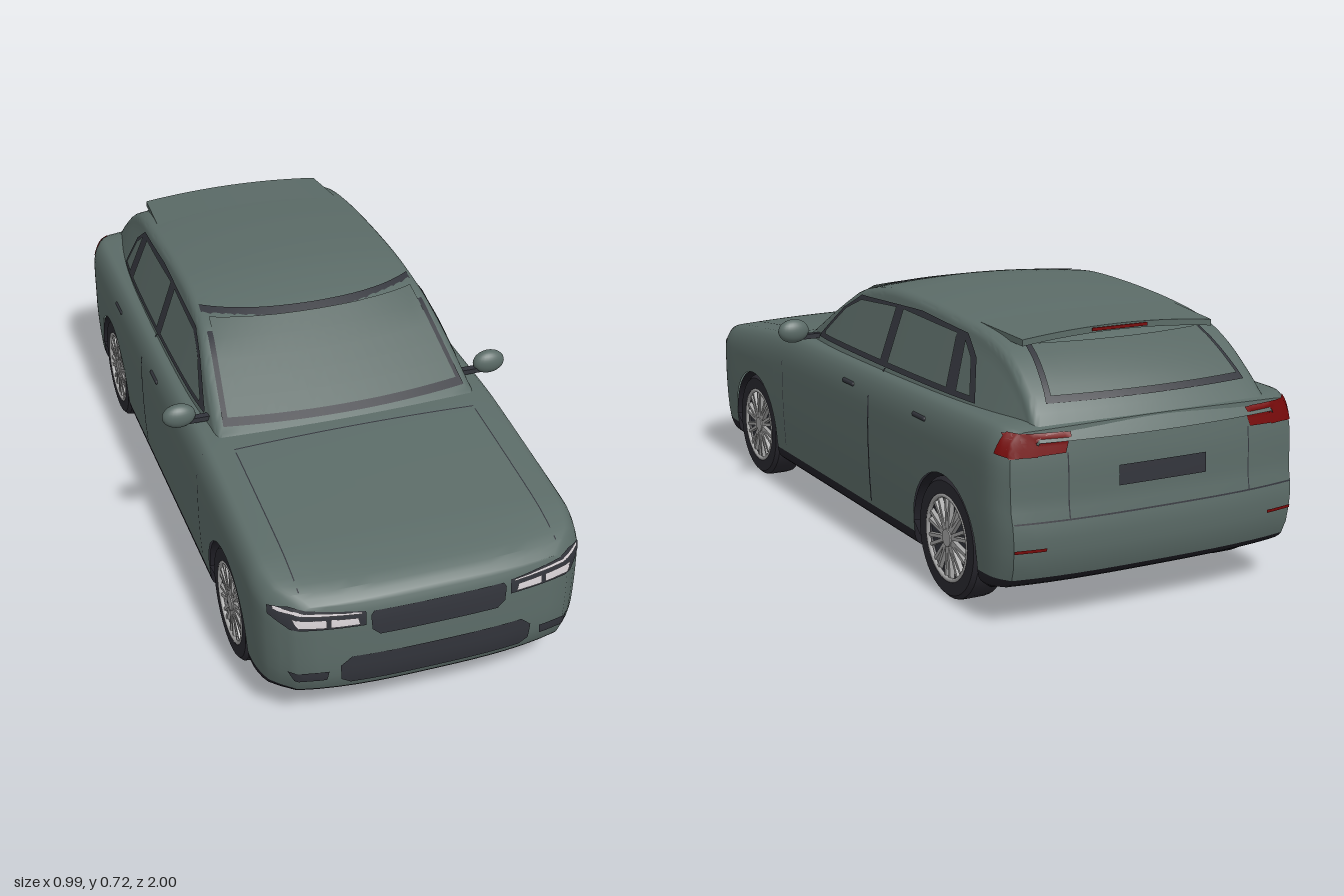
import * as THREE from 'three';
import { mergeGeometries, toCreasedNormals } from 'three/addons/utils/BufferGeometryUtils.js';

const flat = (name, hex) => {
  const m = new THREE.MeshStandardMaterial({ color: hex, side: THREE.DoubleSide });
  m.name = name;
  return m;
};

// Smooth curve through sorted [t, value] points
const curve = (pts) => (t) => {
  const n = pts.length - 1;
  if (t <= pts[0][0]) return pts[0][1];
  if (t >= pts[n][0]) return pts[n][1];
  let i = 0;
  while (t > pts[i + 1][0]) i++;
  const slope = (k) => {
    const a = pts[Math.max(k - 1, 0)], b = pts[Math.min(k + 1, n)];
    return (b[1] - a[1]) / (b[0] - a[0]);
  };
  const h = pts[i + 1][0] - pts[i][0], u = (t - pts[i][0]) / h, u2 = u * u, u3 = u2 * u;
  return (2 * u3 - 3 * u2 + 1) * pts[i][1] + (u3 - 2 * u2 + u) * h * slope(i)
    + (3 * u2 - 2 * u3) * pts[i + 1][1] + (u3 - u2) * h * slope(i + 1);
};

// Surface from rows of points
function grid(rows) {
  const n = rows[0].length, index = [];
  for (let v = 0; v < rows.length - 1; v++) for (let u = 0; u < n - 1; u++) {
    const a = v * n + u, c = a + n;
    index.push(a, a + 1, c + 1, a, c + 1, c);
  }
  const g = new THREE.BufferGeometry();
  g.setAttribute('position', new THREE.Float32BufferAttribute(rows.flat(2), 3));
  g.setIndex(index);
  return g;
}
const smooth = (parts, angle = 0.7) => toCreasedNormals(mergeGeometries(parts), angle);
const steps = (n, a = 0, b = 1) => Array.from({ length: n + 1 }, (_, i) => a + (b - a) * i / n);

// Body curves: plan width, shoulder height, and how far each end draws back with height
const plan = curve([[-1, .405], [-.95, .428], [-.85, .435], [0, .437], [.8, .435], [.9, .426], [.95, .41], [1, .36]]);
const inset = curve([[.08, .04], [.1, .016], [.13, .009], [.25, .002], [.36, 0]]);
const shoulder = curve([[-1, .485], [-.95, .495], [-.7, .495], [0, .49], [.3, .487], [.4, .48], [.6, .46], [.8, .437], [.9, .42], [.97, .403], [1, .385]]);
const frontDrop = curve([[.08, .11], [.1, .05], [.13, .015], [.18, 0], [.3, 0], [.36, .005], [.4, .02]]);
const rearDrop = curve([[.08, .13], [.1, .06], [.13, .02], [.18, .005], [.25, 0], [.3, .01], [.4, .015], [.5, .03]]);
const WHEEL_Z = [.6, -.67], WHEEL_R = .157, ARCH_R = .167, FLOOR = .08, SPLIT = .128;

const halfWidth = (y, z) => plan(z) - inset(y);
const inArch = (z) => WHEEL_Z.find((c) => Math.abs(z - c) < ARCH_R);
const archY = (z) => {
  const c = inArch(z);
  return c === undefined ? 0 : WHEEL_R + Math.sqrt(ARCH_R ** 2 - (z - c) ** 2);
};
function warp(x, y, z) {
  const f = .995 - .035 * Math.abs(x / .36) ** 3 - frontDrop(y);
  const r = 1 - .03 * Math.abs(x / .41) ** 3 - rearDrop(y);
  if (z > .8) z = .8 + (z - .8) / .2 * (f - .8);
  if (z < -.85) z = -.85 + (z + .85) / .15 * (r - .85);
  return [x, y, z];
}
const stations = [...steps(64, -1, 1), .97, .985, -.985,
  ...WHEEL_Z.flatMap((c) => [c - ARCH_R - .001, c + ARCH_R + .001, ...steps(20).map((t) => c + ARCH_R * .9999 * Math.cos(t * Math.PI))]),
].sort((a, b) => a - b);
const across = steps(14, 1, -1);

function halfSection(z) {
  const sh = shoulder(z), b = z > .5 ? .09 - (z - .5) * .06 : .09;
  const lo = Math.max(SPLIT, archY(z)), hi = sh - b;
  const pts = steps(8, lo, hi).map((y) => [halfWidth(y, z), y]);
  const x = halfWidth(hi, z);
  for (let i = 1; i <= 6; i++) {
    const a = i / 6 * Math.PI / 2;
    pts.push([x - .04 * (1 - Math.cos(a)), hi + b * Math.sin(a)]);
  }
  return pts;
}
function endCap(half, z, crown) {
  const cols = (z > 0 ? across : [...across].reverse());
  return grid(cols.map((c) => half.map(([x, y], k) =>
    warp(x * c, y + (k === half.length - 1 ? crown * (1 - c * c) : 0), z))));
}
function bodyGeometry() {
  const rows = stations.map((z) => {
    const half = halfSection(z), [xt, yt] = half[half.length - 1];
    return [...half, ...across.slice(1, -1).map((c) => [xt * c, yt + .01 * (1 - c * c)]),
      ...[...half].reverse().map(([x, y]) => [-x, y])].map(([x, y]) => warp(x, y, z));
  });
  return smooth([grid(rows), endCap(halfSection(1), 1, .01), endCap(halfSection(-1), -1, .01)]);
}
function skirtGeometry() {
  const half = (z) => steps(5, Math.max(FLOOR, archY(z)), Math.max(SPLIT, archY(z))).map((y) => [halfWidth(y, z), y]);
  const side = (s) => grid((s > 0 ? stations : [...stations].reverse()).map((z) => half(z).map(([x, y]) => warp(s * x, y, z))));
  const floor = grid(stations.map((z) => {
    const w = inArch(z) === undefined ? halfWidth(FLOOR, z) : .3;
    return [...across].reverse().map((c) => warp(w * c, FLOOR, z));
  }));
  return smooth([side(1), side(-1), endCap(half(1), 1, 0), endCap(half(-1), -1, 0), floor]);
}

// Cabin: sloping sides under a roof line that runs from windscreen to tailgate
const roof = curve([[-1, .46], [-.97, .492], [-.92, .555], [-.85, .612], [-.78, .652], [-.7, .678], [-.6, .694], [-.4, .71], [-.2, .715],
  [-.1, .708], [0, .69], [.05, .674], [.1, .646], [.2, .586], [.3, .525], [.36, .487], [.4, .46]]);
const belt = curve([[-1, .325], [-.8, .36], [-.5, .383], [.1, .385], [.4, .362]]);
function cabinGeometry() {
  const base = .455;
  return smooth([grid(steps(80, -1, .4).map((z) => {
    const crown = .018 * THREE.MathUtils.clamp((roof(z) - .48) / .2, 0, 1);
    const top = roof(z) - crown, r = Math.min(.028, (top - base) * .5);
    const wide = (y) => belt(z) - .35 * (y - .49);
    const half = steps(6, base, top - r).map((y) => [wide(y), y]);
    for (let i = 1; i <= 5; i++) {
      const a = i / 5 * Math.PI / 2;
      half.push([wide(top - r) - r * (1 - Math.cos(a)), top - r + r * Math.sin(a)]);
    }
    const xt = half[half.length - 1][0];
    const ring = [...half, ...across.slice(1, -1).map((c) => [xt * c, top + crown * (1 - c * c)]),
      ...[...half].reverse().map(([x, y]) => [-x, y])];
    const bow = z > 0 ? -.03 * Math.min(1, z / .3) : .03 * THREE.MathUtils.clamp((-z - .7) / .2, 0, 1);
    return ring.map(([x, y]) => [x, y, z + bow * (x / .35) ** 2]);
  }))], .6);
}

function wheel(m) {
  const g = new THREE.Group();
  const add = (name, geo, mat, y = 0) => {
    const o = new THREE.Mesh(geo, mat);
    o.name = name; o.position.y = y; g.add(o);
    return o;
  };
  const profile = [[.11, -.046], [.145, -.046], [.155, -.036], [.157, -.02], [.157, .02], [.155, .036], [.145, .046], [.112, .046], [.108, .03]];
  add('tyre', toCreasedNormals(new THREE.LatheGeometry(profile.map((p) => new THREE.Vector2(...p)), 40), .6), m.tyre);
  add('rimBack', new THREE.CylinderGeometry(.11, .11, .06, 32), m.trim);
  add('rimRing', new THREE.TorusGeometry(.107, .006, 8, 40).rotateX(Math.PI / 2), m.silver, .042);
  add('hub', new THREE.CylinderGeometry(.022, .026, .02, 20), m.silver, .036);
  for (let i = 0; i < 10; i++) for (const s of [-1, 1]) {
    const geo = new THREE.BoxGeometry(.09, .012, .009).translate(.062, 0, 0).rotateY(s * .12);
    add('spoke', geo, m.silver, .037).rotation.y = i / 10 * Math.PI * 2;
  }
  return g;
}

export function createModel() {
  const car = new THREE.Group();
  car.name = 'car';
  const m = {
    paint: flat('paint', 0x5b6b67), glass: flat('glass', 0x586763), trim: flat('darkTrim', 0x32343b),
    skirt: flat('blackPlastic', 0x201f26), tyre: flat('tyreRubber', 0x29282f), silver: flat('silver', 0xa2a2a2),
    lamp: flat('lampWhite', 0xd8d2d6), red: flat('lampRed', 0x780a0a),
  };
  const add = (name, geo, mat, parent = car) => {
    const o = new THREE.Mesh(geo, mat);
    o.name = name; parent.add(o);
    return o;
  };
  const shell = [add('body', bodyGeometry(), m.paint), add('cabin', cabinGeometry(), m.paint)];
  add('lowerSkirt', skirtGeometry(), m.skirt);

  // Thin panel between two outlines, laid onto the shell along a direction
  const ray = new THREE.Raycaster();
  const place = {
    front: (a, b) => [[a, b, 3], [0, 0, -1]], rear: (a, b) => [[a, b, -3], [0, 0, 1]],
    left: (a, b) => [[3, b, a], [-1, 0, 0]], right: (a, b) => [[-3, b, a], [1, 0, 0]],
    top: (a, b) => [[a, 3, b], [0, -1, 0]],
  };
  function panel(name, side, lower, upper, mat, lift = .003, n = 10) {
    let last = [0, .3, 0];
    const at = (pts, t) => {
      const s = t * (pts.length - 1), i = Math.min(Math.floor(s), pts.length - 2);
      return pts[i].map((v, k) => v + (pts[i + 1][k] - v) * (s - i));
    };
    const rows = steps(n * (lower.length - 1)).map((t) => steps(5).map((v) => {
      const p = at(lower, t), q = at(upper, t);
      const [o, d] = place[side](p[0] + (q[0] - p[0]) * v, p[1] + (q[1] - p[1]) * v);
      ray.set(new THREE.Vector3(...o), new THREE.Vector3(...d));
      const hit = ray.intersectObjects(shell)[0];
      if (hit) {
        const nrm = hit.face.normal.clone();
        if (nrm.dot(ray.ray.direction) > 0) nrm.negate();
        last = hit.point.addScaledVector(nrm, lift).toArray();
      }
      return last;
    }));
    const g = grid(rows);
    g.computeVertexNormals();
    add(name, g, mat);
  }
  const bar = (name, side, x0, x1, y0, y1, mat, lift, n) => panel(name, side, [[x0, y0], [x1, y0]], [[x0, y1], [x1, y1]], mat, lift, n);

  // Windscreen and tailgate glass
  panel('windscreenFrame', 'front', [[-.345, .503], [.345, .503]], [[-.308, .682], [.308, .682]], m.trim, .003, 20);
  panel('windscreen', 'front', [[-.328, .516], [.328, .516]], [[-.296, .671], [.296, .671]], m.glass, .006, 20);
  panel('rearWindowFrame', 'rear', [[-.285, .535], [.285, .535]], [[-.255, .645], [.255, .645]], m.trim, .003, 20);
  panel('rearWindow', 'rear', [[-.268, .548], [.268, .548]], [[-.243, .645], [.243, .645]], m.glass, .006, 20);

  // Grille, intake and number plate recess
  panel('grille', 'front', [[-.175, .31], [-.155, .292], [.155, .292], [.175, .31]], [[-.178, .35], [-.17, .361], [.17, .361], [.178, .35]], m.trim);
  panel('lowerIntake', 'front', [[-.25, .165], [-.225, .15], [.225, .15], [.25, .165]], [[-.253, .21], [-.225, .235], [.225, .235], [.253, .21]], m.trim);
  bar('plateRecess', 'rear', -.125, .125, .335, .385, m.trim);
  bar('bumperSeam', 'rear', -.4, .4, .268, .272, m.trim, .001, 20);
  bar('bonnetSeam', 'top', -.34, .34, .385, .389, m.trim, .001, 20);

  for (const s of [1, -1]) {
    const flip = (pts) => pts.map(([a, b]) => [a * s, b]), side = s > 0 ? 'left' : 'right';
    const onEnd = (name, end, lo, up, mat, lift) => panel(name, end, flip(lo), flip(up), mat, lift);

    // Lamps
    onEnd('headlight', 'front', [[.19, .325], [.37, .325], [.412, .35]], [[.19, .364], [.37, .381], [.412, .372]], m.trim);
    onEnd('lightStrip', 'front', [[.2, .359], [.4, .367]], [[.2, .364], [.4, .376]], m.lamp, .006);
    onEnd('innerLamp', 'front', [[.205, .331], [.277, .331]], [[.21, .35], [.277, .353]], m.lamp, .006);
    onEnd('outerLamp', 'front', [[.287, .331], [.355, .333]], [[.287, .353], [.365, .356]], m.lamp, .006);
    onEnd('cornerVent', 'front', [[.285, .167], [.36, .165]], [[.28, .195], [.375, .192]], m.trim);
    onEnd('tailLight', 'rear', [[.265, .43], [.405, .425]], [[.25, .477], [.405, .482]], m.red);
    panel('tailLightSide', side, [[-.965, .425], [-.915, .435]], [[-.965, .48], [-.925, .485]], m.red);
    onEnd('reflector', 'rear', [[.32, .2], [.4, .2]], [[.32, .208], [.4, .208]], m.red);
    onEnd('tailgateSeam', 'rear', [[.258, .272], [.261, .272]], [[.258, .43], [.261, .43]], m.trim, .001);
    onEnd('bonnetSideSeam', 'top', [[.338, .4], [.338, .92]], [[.341, .4], [.341, .92]], m.trim, .001);

    // Side windows in a dark surround
    panel('windowSurround', side, [[.215, .502], [.1, .502], [0, .502], [-.35, .502], [-.6, .502], [-.715, .502]],
      [[.215, .51], [.1, .605], [.01, .652], [-.35, .668], [-.6, .654], [-.665, .605]], m.trim, .003, 6);
    panel('frontWindow', side, [[.175, .515], [.08, .515], [0, .515], [-.215, .515]],
      [[.175, .525], [.08, .605], [0, .64], [-.215, .655]], m.glass, .006, 6);
    panel('rearDoorWindow', side, [[-.255, .515], [-.58, .515]], [[-.255, .656], [-.555, .646]], m.glass, .006);
    panel('quarterWindow', side, [[-.625, .515], [-.69, .515]], [[-.6, .637], [-.648, .6]], m.glass, .006);

    // Door seams and handles
    bar('doorSeam', side, -.249, -.242, .14, .5, m.trim, .002);
    bar('frontDoorSeam', side, .358, .361, .15, .47, m.trim, .001);
    for (const z of [-.11, -.54]) {
      const h = add('doorHandle', new THREE.CapsuleGeometry(.007, .06, 4, 8).rotateX(Math.PI / 2), m.trim);
      h.position.set(s * .431, .44, z);
    }

    // Mirror
    const pod = add('mirror', new THREE.SphereGeometry(1, 24, 16), m.paint);
    pod.geometry.applyMatrix4(new THREE.Matrix4().makeScale(.046, .034, .026));
    pod.position.set(s * .449, .521, .235);
    add('mirrorArm', new THREE.BoxGeometry(.07, .014, .02), m.trim).position.set(s * .395, .502, .235);

    // Wheels and arch liners
    for (const z of WHEEL_Z) {
      const w = wheel(m);
      w.name = z > 0 ? 'frontWheel' : 'rearWheel';
      w.position.set(s * .378, WHEEL_R, z);
      w.rotation.z = -s * Math.PI / 2;
      car.add(w);
      const liner = new THREE.CylinderGeometry(ARCH_R, ARCH_R, .132, 28, 1, true, 0, Math.PI).rotateZ(Math.PI / 2);
      add('archLiner', liner, m.skirt).position.set(s * .364, WHEEL_R, z);
      add('archInner', new THREE.CircleGeometry(ARCH_R, 28, 0, Math.PI).rotateY(Math.PI / 2), m.skirt).position.set(s * .3, WHEEL_R, z);
      add('archInnerLower', new THREE.PlaneGeometry(ARCH_R * 2, .077).rotateY(Math.PI / 2), m.skirt).position.set(s * .3, .119, z);
    }
  }

  // Roof spoiler with brake light
  const wing = new THREE.BoxGeometry(.58, .016, .21, 12, 1, 6), p = wing.attributes.position;
  for (let i = 0; i < p.count; i++) {
    const t = .5 - p.getZ(i) / .21, x = p.getX(i);
    p.setY(i, p.getY(i) + .687 - .014 * t - .016 * (x / .29) ** 2);
    p.setX(i, x * (1 - .05 * t));
  }
  add('spoiler', toCreasedNormals(wing, .6), m.paint).position.z = -.68;
  add('brakeLight', new THREE.BoxGeometry(.16, .008, .006), m.red).position.set(0, .672, -.785);
  return car;
}
